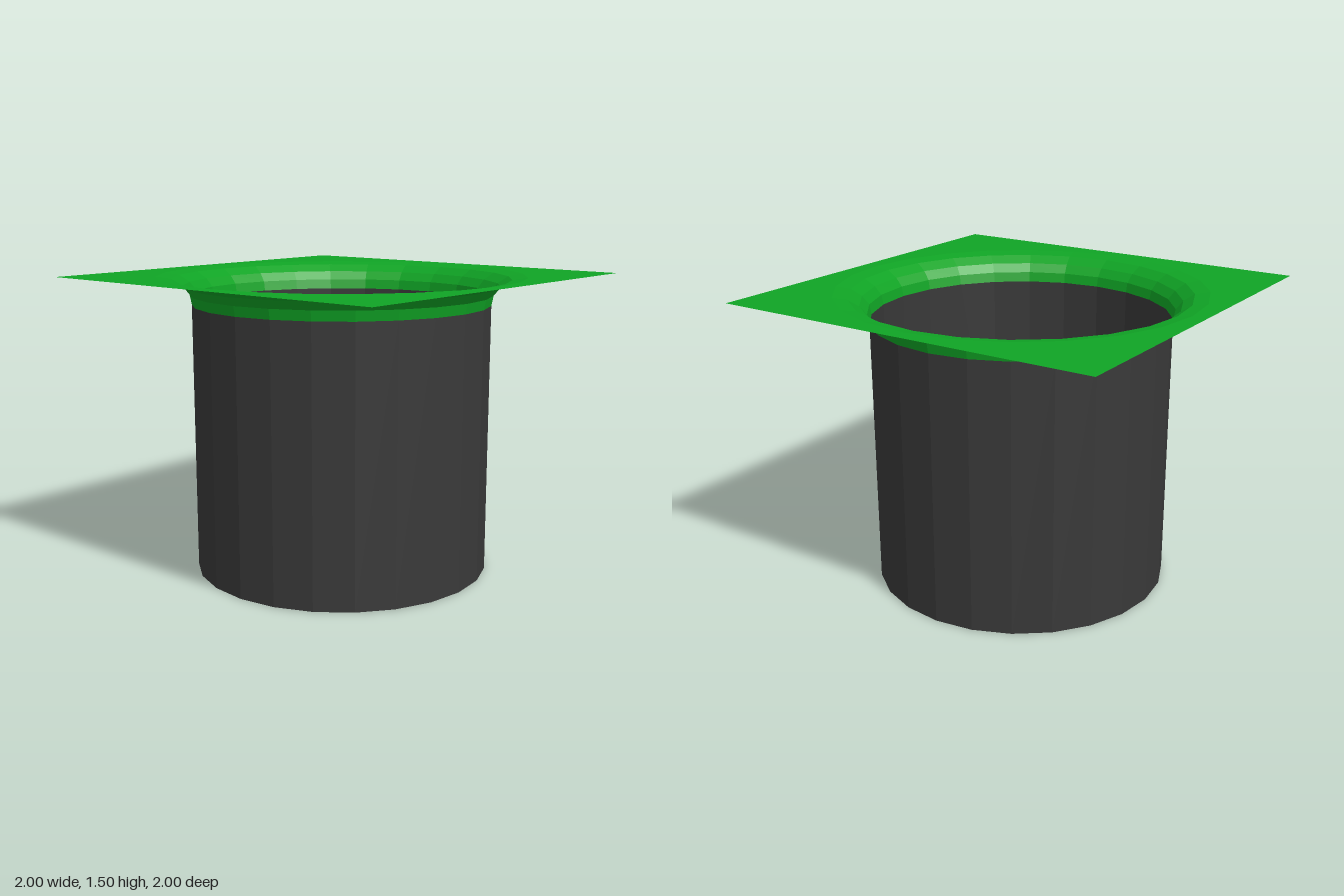
import * as THREE from 'three';

const SIDES = 24;
const CUP_RADIUS = 0.75;
const TOP = 1.5;

const green = new THREE.MeshStandardMaterial({ color: 0x10a425, flatShading: true, side: THREE.DoubleSide });
green.name = 'grass green';
const grey = new THREE.MeshStandardMaterial({ color: 0x393939, flatShading: true, side: THREE.DoubleSide });
grey.name = 'dark grey';

// Flared lip, from the cup wall out to the flat surface
const LIP = [[CUP_RADIUS, 1.36], [0.76, 1.41], [0.795, 1.453], [0.85, 1.488], [0.925, TOP]];

function addMesh(group, name, geometry, material) {
  const mesh = new THREE.Mesh(geometry, material);
  mesh.name = name;
  group.add(mesh);
  return mesh;
}

export function createModel() {
  const model = new THREE.Group();
  model.name = 'holeCup';

  // Open cup wall and its floor
  const wallHeight = LIP[0][1];
  const wall = new THREE.CylinderGeometry(CUP_RADIUS, CUP_RADIUS, wallHeight, SIDES, 1, true);
  addMesh(model, 'cupWall', wall.translate(0, wallHeight / 2, 0), grey);
  const floor = new THREE.CircleGeometry(CUP_RADIUS, SIDES).rotateX(Math.PI / 2);
  addMesh(model, 'cupFloor', floor, grey);

  // Rounded lip; the profile runs inwards so its faces point up
  const profile = LIP.map(([r, y]) => new THREE.Vector2(r, y)).reverse();
  addMesh(model, 'lip', new THREE.LatheGeometry(profile, SIDES), green);

  // Thin square surface with a hole matching the lip
  const square = new THREE.Shape([[-1, -1], [1, -1], [1, 1], [-1, 1]].map(([x, y]) => new THREE.Vector2(x, y)));
  const outer = LIP[LIP.length - 1][0];
  const ring = [];
  for (let i = 0; i < SIDES; i++) {
    const a = (i / SIDES) * Math.PI * 2;
    ring.push(new THREE.Vector2(Math.cos(a) * outer, Math.sin(a) * outer));
  }
  square.holes.push(new THREE.Path(ring));
  const surface = new THREE.ShapeGeometry(square).rotateX(-Math.PI / 2).translate(0, TOP, 0);
  addMesh(model, 'squareSurface', surface, green);

  return model;
}
